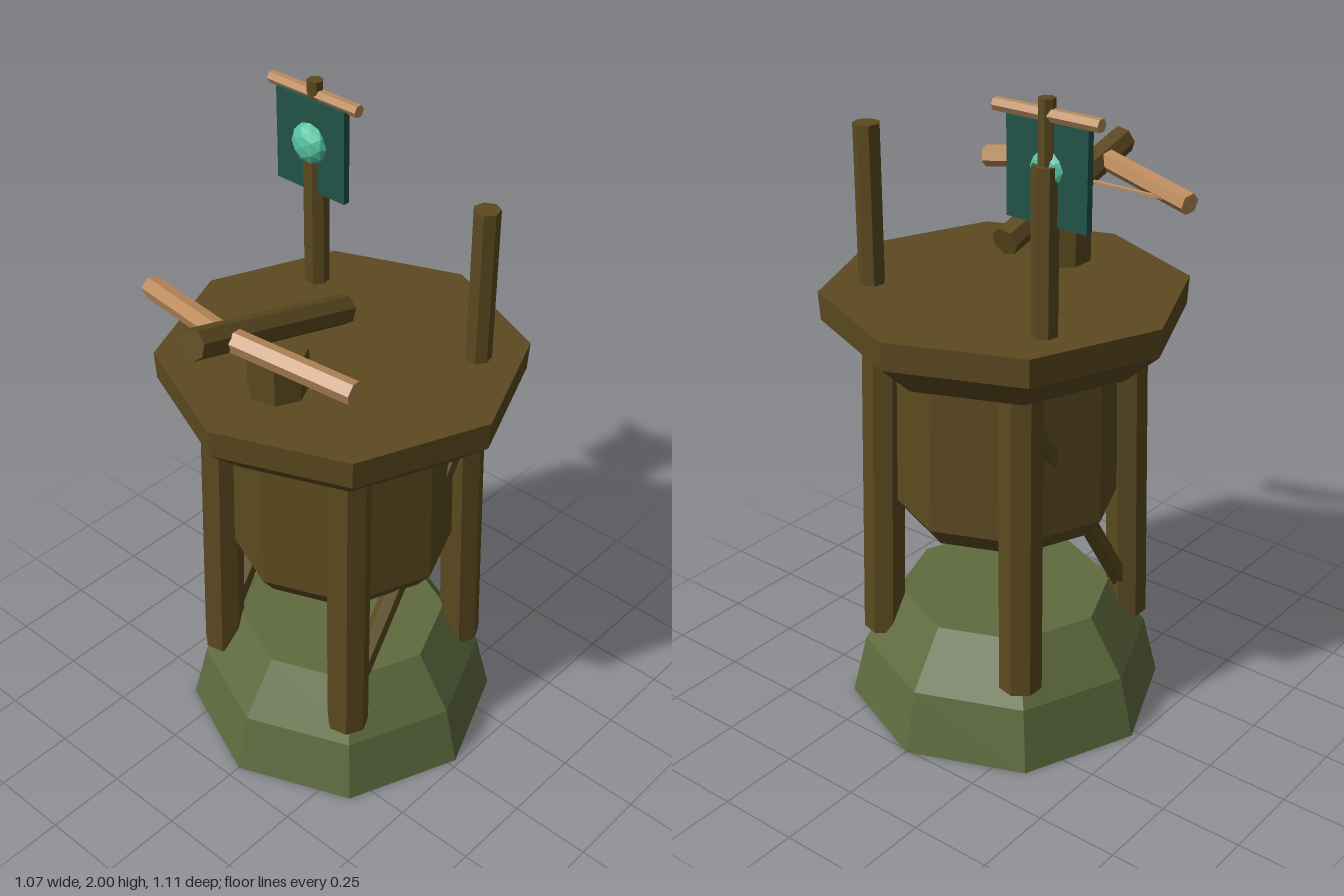
import * as THREE from 'three';

const CZ = -0.025; // centre line of the tower in z

function mat(name, color) {
  const m = new THREE.MeshStandardMaterial({ color, flatShading: true });
  m.name = name;
  return m;
}

export function createModel() {
  const wood = mat('dark wood', 0x5c4a20);
  const tan = mat('pale wood', 0xbb8b5d);
  const moss = mat('moss green', 0x5f6b3f);
  const cloth = mat('banner green', 0x215348);
  const jade = mat('jade', 0x55c4a2);

  const model = new THREE.Group();
  model.name = 'watchtower';

  function add(name, geometry, material, x = 0, y = 0, z = 0) {
    const mesh = new THREE.Mesh(geometry, material);
    mesh.name = name;
    mesh.position.set(x, y, z);
    model.add(mesh);
    return mesh;
  }

  // straight pole between two points
  function rod(name, a, b, r, sides, material, start = 0) {
    const from = new THREE.Vector3(...a), to = new THREE.Vector3(...b);
    const dir = to.clone().sub(from);
    const geo = new THREE.CylinderGeometry(r, r, dir.length(), sides, 1, false, start);
    const mesh = add(name, geo, material);
    mesh.position.copy(from).add(to).multiplyScalar(0.5);
    mesh.quaternion.setFromUnitVectors(new THREE.Vector3(0, 1, 0), dir.normalize());
    return mesh;
  }

  // closed eight-sided body from [radius, height] pairs
  function octagon(name, profile, material) {
    const pts = [[0, profile[0][1]], ...profile, [0, profile[profile.length - 1][1]]];
    add(name, new THREE.LatheGeometry(pts.map(p => new THREE.Vector2(...p)), 8), material, 0, 0, CZ);
  }

  // mound, hanging cabin and deck
  octagon('mound', [[0.485, 0], [0.44, 0.19], [0.325, 0.36]], moss);
  octagon('cabin', [[0.305, 0.64], [0.35, 0.70], [0.34, 1.165]], wood);
  octagon('deck', [[0.42, 1.17], [0.53, 1.27], [0.535, 1.355]], wood);

  // legs and diagonal braces
  for (const sx of [-1, 1]) {
    for (const sz of [-1, 1]) {
      rod('leg', [sx * 0.267, 0.24, CZ + sz * 0.27], [sx * 0.25, 1.2, CZ + sz * 0.25],
        0.064, 7, wood, Math.PI / 2);
    }
    rod('brace', [sx * 0.262, 0.32, 0.24], [sx * 0.262, 1.09, -0.26], 0.032, 6, wood);
  }

  // deck posts
  for (const sx of [-1, 1]) {
    rod('post', [sx * 0.31, 1.34, -0.25], [sx * 0.31, 1.825, -0.25], 0.039, 7, wood, Math.PI);
  }

  // banner on its pole
  rod('bannerPole', [-0.31, 1.8, -0.25], [-0.31, 2, -0.25], 0.024, 7, wood);
  rod('bannerBar', [-0.48, 1.957, -0.25], [-0.145, 1.957, -0.25], 0.019, 6, tan);
  add('banner', new THREE.BoxGeometry(0.26, 0.285, 0.022), cloth, -0.31, 1.805, -0.238);
  const emblem = add('emblem', new THREE.IcosahedronGeometry(0.063, 1), jade, -0.31, 1.813, -0.228);
  emblem.scale.z = 0.62;

  // mounted bolt thrower
  rod('pedestal', [0, 1.34, 0.24], [0, 1.48, 0.24], 0.088, 7, wood, Math.PI / 2);
  rod('stock', [0, 1.483, -0.03], [0, 1.648, 0.543], 0.044, 7, wood, -Math.PI / 2);
  for (const sx of [-1, 1]) {
    rod('bowArm', [sx * 0.03, 1.617, 0.425], [sx * 0.372, 1.573, 0.345], 0.033, 6, tan);
  }
  rod('bowString', [-0.365, 1.573, 0.343], [0.365, 1.573, 0.343], 0.006, 5, tan);

  return model;
}
